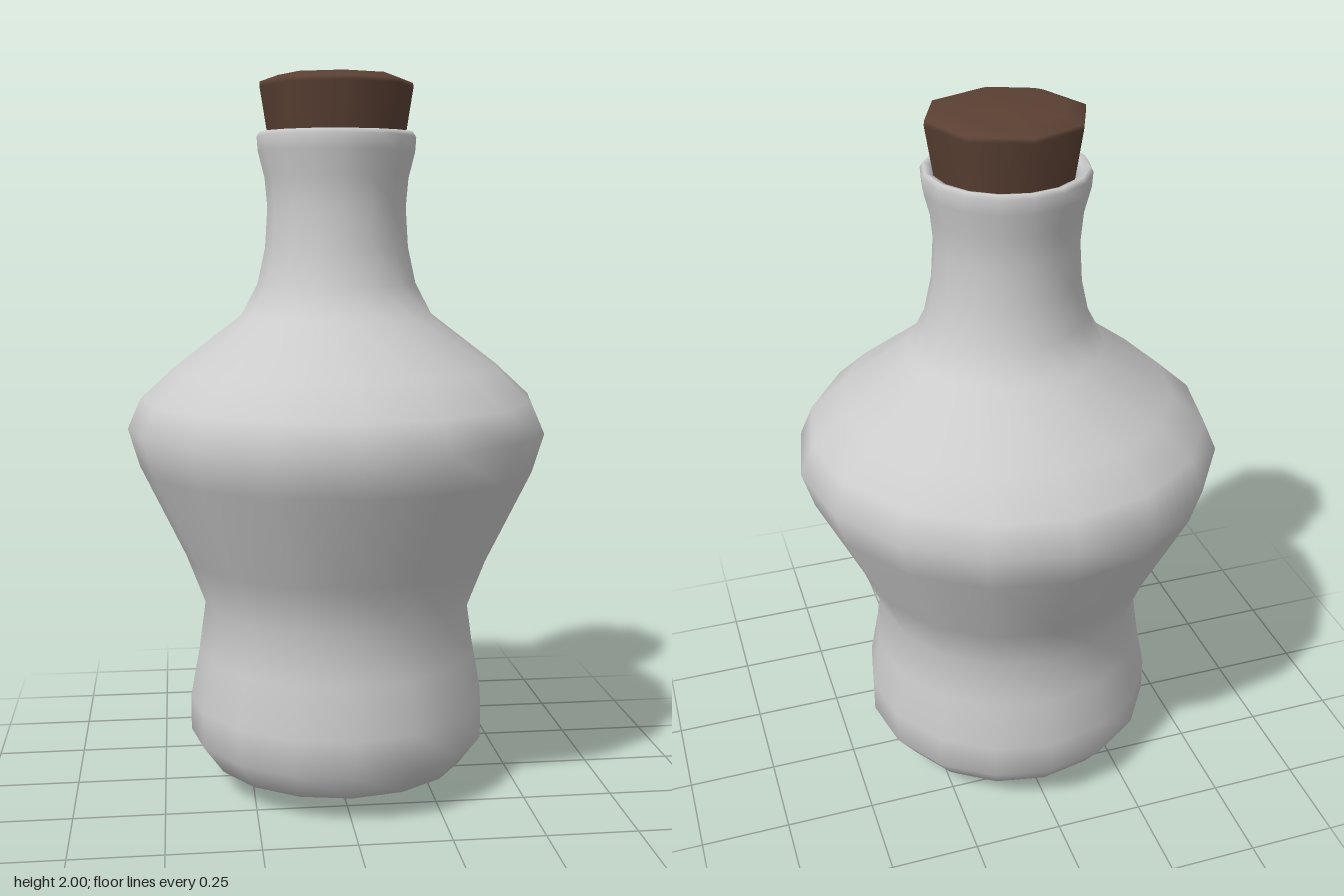
import * as THREE from 'three';

// Turns a list of [radius, height] pairs into a smooth lathed mesh
function turned(name, profile, sides, color) {
  const points = profile.map(([r, y]) => new THREE.Vector2(r, y));
  const mesh = new THREE.Mesh(
    new THREE.LatheGeometry(points, sides),
    new THREE.MeshStandardMaterial({ color })
  );
  mesh.name = name;
  return mesh;
}

export function createModel() {
  const model = new THREE.Group();
  model.name = 'corkedBottle';

  // Waisted body, shoulder, neck and rolled lip, ending with the inner neck wall
  model.add(turned('bottle', [
    [0, 0], [0.21, 0.022], [0.365, 0.07], [0.423, 0.15], [0.423, 0.25],
    [0.397, 0.39], [0.378, 0.527], [0.43, 0.664], [0.555, 0.923],
    [0.587, 1.03], [0.55, 1.114], [0.457, 1.2], [0.267, 1.345],
    [0.222, 1.43], [0.2, 1.53], [0.193, 1.64], [0.2, 1.72],
    [0.218, 1.79], [0.221, 1.83], [0.213, 1.843], [0.195, 1.838],
    [0.183, 1.81], [0.172, 1.7], [0.17, 1.6],
  ], 16, 0xcccccc));

  // Eight-sided tapered stopper with a slightly bevelled top
  model.add(turned('cork', [
    [0, 1.66], [0.165, 1.66], [0.168, 1.68], [0.192, 1.84], [0.212, 1.965],
    [0.211, 1.977], [0.16, 1.995], [0, 2],
  ], 8, 0x5a4033));

  return model;
}
